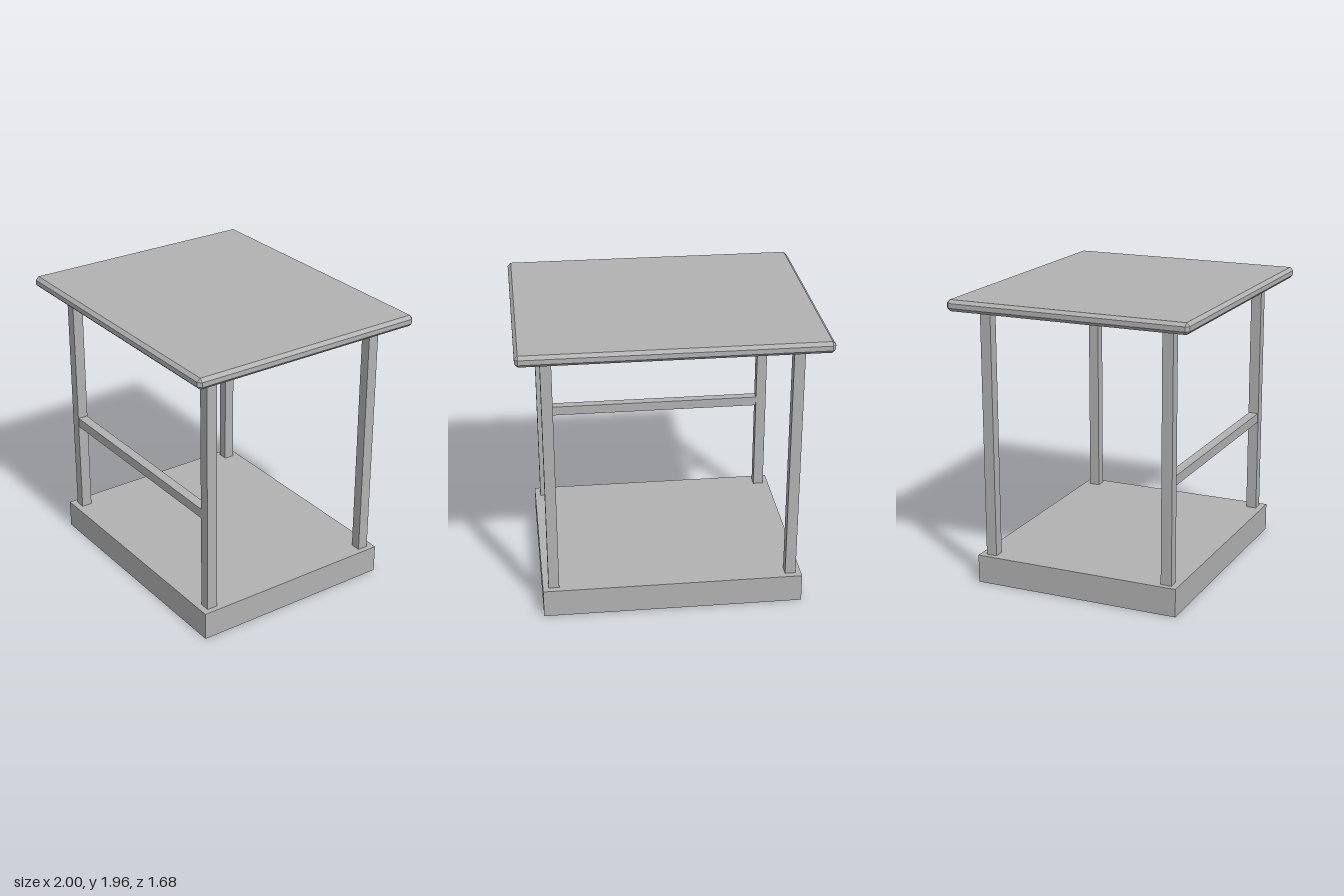
import * as THREE from 'three';
import { ConvexGeometry } from 'three/addons/geometries/ConvexGeometry.js';

const grey = new THREE.MeshStandardMaterial({ color: 0xb2b2b2 });
grey.name = 'plain grey';

function addPart(group, name, geometry, x, y, z) {
  const mesh = new THREE.Mesh(geometry, grey);
  mesh.name = name;
  mesh.position.set(x, y, z);
  group.add(mesh);
}

// Box with every edge and corner cut flat by c
function chamferedBox(w, h, d, c) {
  const points = [];
  for (const sx of [-1, 1]) for (const sy of [-1, 1]) for (const sz of [-1, 1]) {
    const x = w / 2, y = h / 2, z = d / 2;
    points.push(
      new THREE.Vector3(sx * x, sy * (y - c), sz * (z - c)),
      new THREE.Vector3(sx * (x - c), sy * y, sz * (z - c)),
      new THREE.Vector3(sx * (x - c), sy * (y - c), sz * z),
    );
  }
  return new ConvexGeometry(points);
}

export function createModel() {
  const model = new THREE.Group();
  model.name = 'shelter';

  const baseTop = 0.193, roofBottom = 1.887, roofHeight = 0.076;
  const postX = 0.806, postZ = 0.639, postW = 0.072, postD = 0.074;

  // Solid floor slab
  addPart(model, 'base', new THREE.BoxGeometry(1.76, baseTop, 1.44), 0, baseTop / 2, 0);

  // Four corner posts
  const postHeight = roofBottom - baseTop;
  const post = new THREE.BoxGeometry(postW, postHeight, postD);
  for (const [sx, side] of [[-1, 'Right'], [1, 'Left']])
    for (const [sz, end] of [[1, 'front'], [-1, 'back']])
      addPart(model, `${end}${side}Post`, post, sx * postX, baseTop + postHeight / 2, sz * postZ);

  // Rail between the front posts
  addPart(model, 'frontRail', new THREE.BoxGeometry(2 * postX - postW, 0.066, 0.066), 0, 0.884, postZ);

  // Overhanging flat roof with chamfered edges
  addPart(model, 'roof', chamferedBox(2, roofHeight, 1.676, 0.022), 0, roofBottom + roofHeight / 2, 0);

  return model;
}
